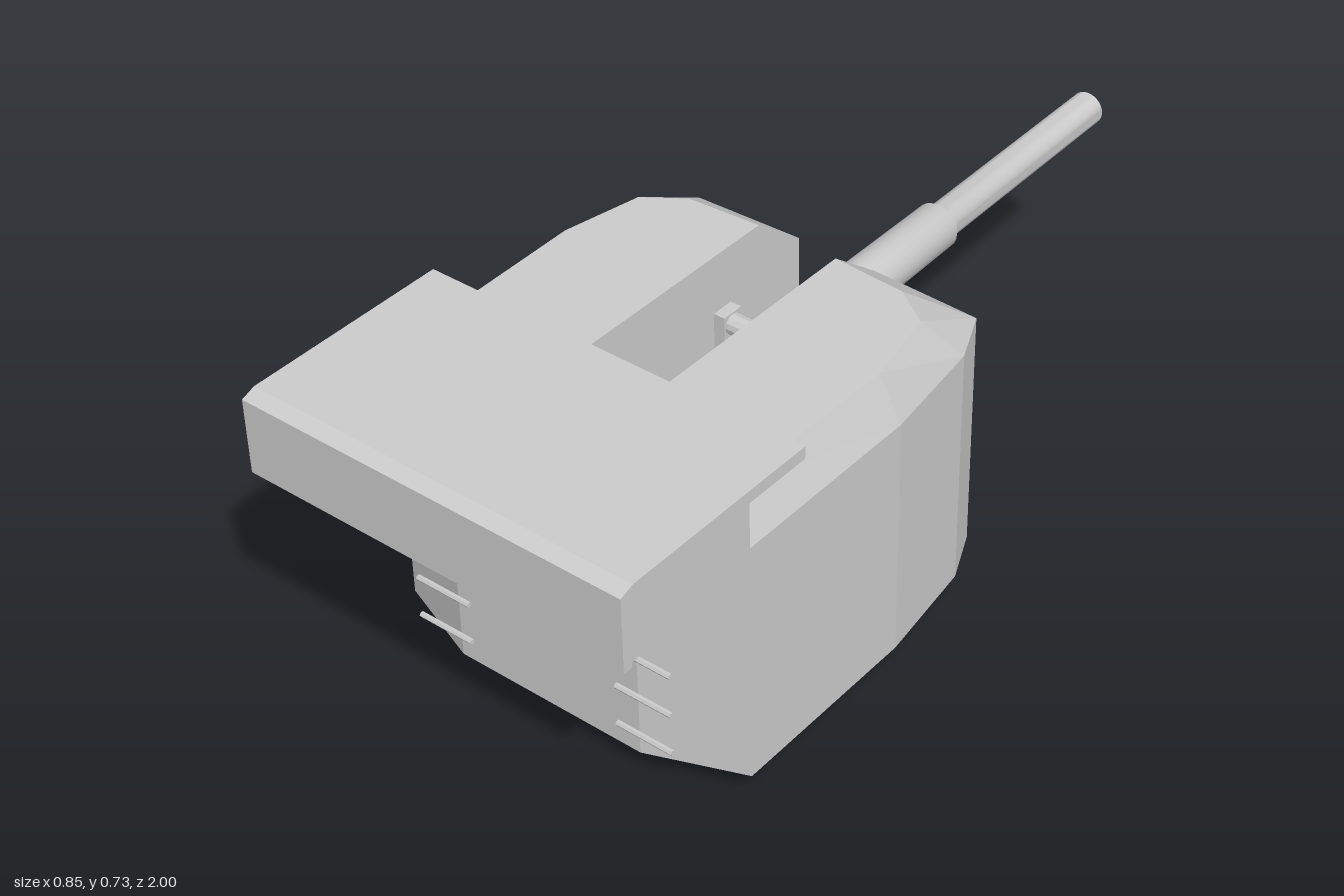
import * as THREE from 'three';
import { toCreasedNormals } from 'three/addons/utils/BufferGeometryUtils.js';

const flat = new THREE.MeshStandardMaterial({ color: 0xcccccc, flatShading: true });
const smooth = new THREE.MeshStandardMaterial({ color: 0xcccccc });

function add(parent, name, geometry, material = flat, x = 0, y = 0, z = 0) {
  const mesh = new THREE.Mesh(geometry, material);
  mesh.name = name;
  mesh.position.set(x, y, z);
  parent.add(mesh);
  return mesh;
}

// Box given by its lower and upper limits
function addBox(parent, name, [x0, x1], [y0, y1], [z0, z1]) {
  return add(parent, name, new THREE.BoxGeometry(x1 - x0, y1 - y0, z1 - z0), flat,
    (x0 + x1) / 2, (y0 + y1) / 2, (z0 + z1) / 2);
}

// Side profile of [z, y] points, extruded across x
function sideProfile(points, width) {
  const shape = new THREE.Shape(points.map(([z, y]) => new THREE.Vector2(z, y)));
  return new THREE.ExtrudeGeometry(shape, { depth: width, bevelEnabled: false })
    .translate(0, 0, -width / 2).rotateY(-Math.PI / 2);
}

// Closed solid through stacked convex rings of [x, z] points; side = -1 mirrors it
function loft(rings, side) {
  const n = rings[0].points.length;
  const positions = rings.flatMap(r => r.points.flatMap(([x, z]) => [x * side, r.y, z]));
  const index = [];
  const tri = (a, b, c) => (side > 0 ? index.push(a, b, c) : index.push(a, c, b));
  for (let k = 0; k < rings.length - 1; k++) {
    for (let i = 0; i < n; i++) {
      const a = k * n + i, b = k * n + (i + 1) % n;
      tri(a, a + n, b + n);
      tri(a, b + n, b);
    }
  }
  const top = (rings.length - 1) * n;
  for (let i = 1; i < n - 1; i++) {
    tri(0, i, i + 1);
    tri(top, top + i + 1, top + i);
  }
  const geometry = new THREE.BufferGeometry();
  geometry.setAttribute('position', new THREE.Float32BufferAttribute(positions, 3));
  geometry.setIndex(index);
  const result = geometry.toNonIndexed();
  result.computeVertexNormals();
  return result;
}

export function createModel() {
  const model = new THREE.Group();
  model.name = 'gunTurret';

  // Stepped base ring
  const base = [[0, 0], [0.245, 0], [0.243, 0.02], [0.233, 0.02], [0.231, 0.04],
    [0.222, 0.04], [0.22, 0.065], [0, 0.065]].map(p => new THREE.Vector2(...p));
  add(model, 'baseRing', new THREE.LatheGeometry(base, 24), flat, 0, 0, 0.31);

  // Armoured housing: two mirrored halves with a chamfered roof
  const wall = [[0.09, -0.123], [0.33, -0.115], [0.38, -0.005], [0.41, 0.23],
    [0.41, 0.66], [0.215, 0.735], [0.09, 0.735]];
  const roof = [[0.09, 0], [0.25, 0.01], [0.33, 0.065], [0.365, 0.235],
    [0.36, 0.64], [0.2, 0.7], [0.09, 0.7]];
  const rings = [{ y: 0.06, points: wall }, { y: 0.585, points: wall }, { y: 0.68, points: roof }];
  for (const side of [1, -1]) {
    add(model, side > 0 ? 'housingLeft' : 'housingRight', loft(rings, side));
  }

  // Floor and back wall of the gun slot
  add(model, 'slotCore', sideProfile([[-0.123, 0.06], [0.735, 0.06], [0.735, 0.585],
    [0.7, 0.68], [0.6, 0.68], [0.6, 0.24], [-0.123, 0.24]], 0.18));

  // Hollow rear bustle under an overhanging top plate
  const bustle = new THREE.Group();
  bustle.name = 'rearBustle';
  model.add(bustle);
  add(bustle, 'topPlate', sideProfile([[0.525, 0.7], [1, 0.7], [1, 0.715],
    [0.97, 0.726], [0.525, 0.726]], 0.848));
  addBox(bustle, 'backPlate', [-0.424, 0.424], [0.557, 0.705], [0.98, 1]);
  addBox(bustle, 'bottomPlate', [-0.42, 0.42], [0.563, 0.575], [0.67, 0.985]);
  for (const side of [1, -1]) {
    const sidePlate = addBox(bustle, 'sidePlate', [0.405, 0.42], [0.563, 0.705], [0.67, 0.985]);
    sidePlate.position.x *= side;
  }

  // Ladder rungs on the rear wall
  for (const side of [1, -1]) {
    for (const y of [0.12, 0.21, 0.301]) {
      add(model, 'rung', new THREE.CylinderGeometry(0.006, 0.006, 0.128, 6).rotateZ(Math.PI / 2),
        flat, side * 0.239, y, 0.748);
    }
  }

  // Gun, slightly raised: breech, jacket, tube and bore
  const gun = new THREE.Group();
  gun.name = 'gun';
  gun.position.y = 0.467;
  gun.rotation.x = 0.017;
  model.add(gun);
  const barrel = [[0, -0.44], [0.055, -0.44], [0.057, -0.42], [0.057, -0.2], [0.052, -0.17],
    [0.053, 0.115], [0.05, 0.455], [0.038, 0.475], [0.037, 1], [0.02, 1], [0.02, 0.9], [0, 0.9]]
    .map(p => new THREE.Vector2(...p));
  const barrelGeometry = new THREE.LatheGeometry(barrel, 24).rotateX(-Math.PI / 2);
  add(gun, 'barrel', toCreasedNormals(barrelGeometry, 0.6), smooth);

  // Yoke carrying the gun inside the slot
  for (const side of [1, -1]) {
    const cheek = addBox(model, 'yokeCheek', [0.05, 0.075], [0.24, 0.57], [0.105, 0.155]);
    cheek.position.x *= side;
  }
  add(model, 'yokeBar', new THREE.CylinderGeometry(0.022, 0.022, 0.15, 12).rotateZ(Math.PI / 2),
    flat, 0, 0.545, 0.13);

  return model;
}
